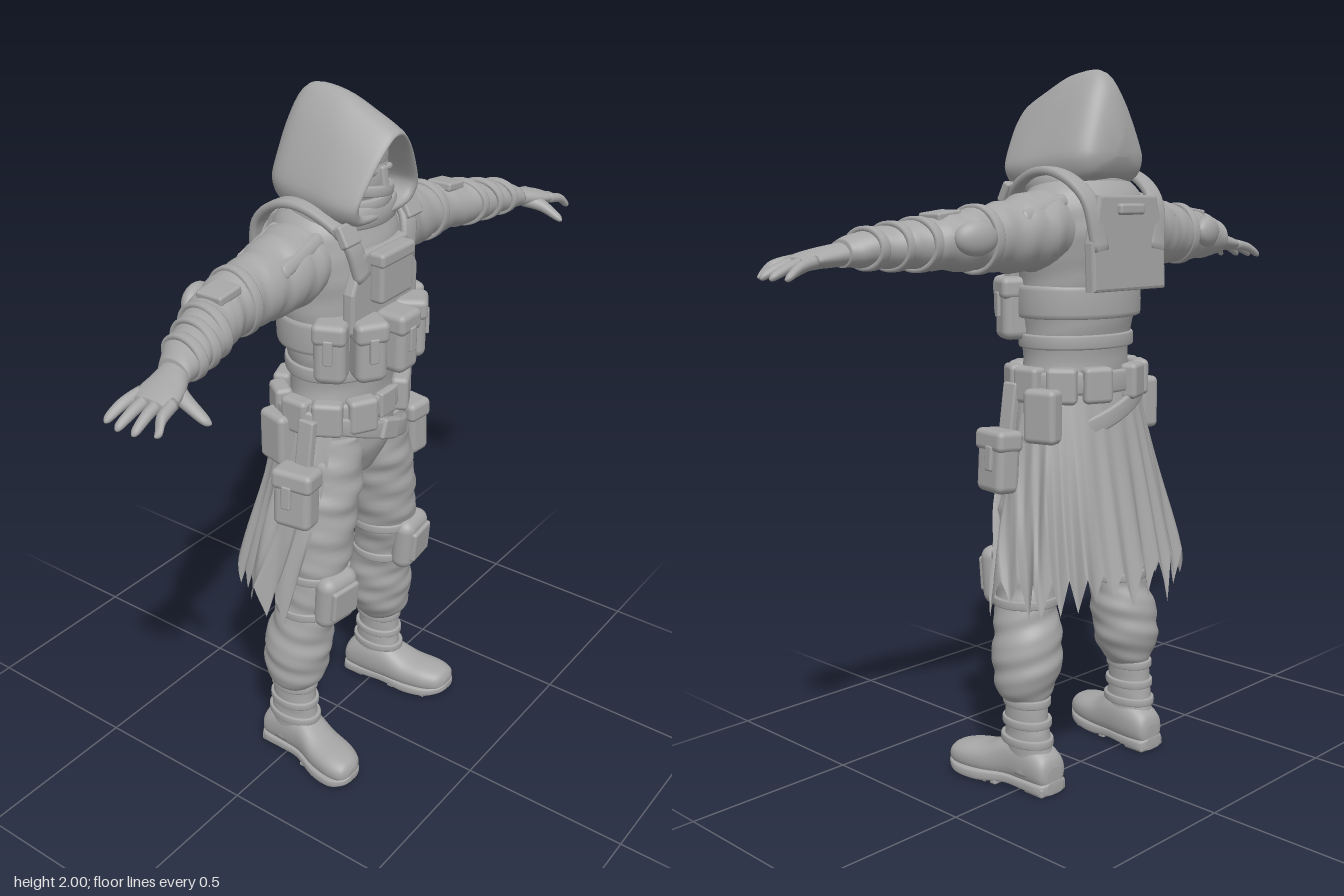
import * as THREE from 'three';
import { mergeVertices } from 'three/addons/utils/BufferGeometryUtils.js';
import { RoundedBoxGeometry } from 'three/addons/geometries/RoundedBoxGeometry.js';

const V = (x, y, z) => new THREE.Vector3(x, y, z);
// For each axis: place (t along axis, u, v) in space
const PLACE = { y: (t, u, v) => V(u, t, v), x: (t, u, v) => V(t, v, u), z: (t, u, v) => V(v, u, t) };
const spow = (c, p) => Math.sign(c) * Math.abs(c) ** p;

// Surface through rings of points, with end caps or closed into a hoop
function skin(rings, closed = false) {
  const n = rings[0].length, m = rings.length, pts = rings.flat(), idx = [];
  for (let i = 0; i < (closed ? m : m - 1); i++) for (let j = 0; j < n; j++) {
    const k = (j + 1) % n, a = i * n + j, b = i * n + k, c = ((i + 1) % m) * n + j, d = ((i + 1) % m) * n + k;
    idx.push(a, c, b, b, c, d);
  }
  if (!closed) for (const [i, end] of [[0, false], [m - 1, true]]) {
    const mid = rings[i].reduce((s, p) => s.add(p), V(0, 0, 0)).divideScalar(n);
    const c = pts.push(mid) - 1;
    for (let j = 0; j < n; j++) {
      const a = i * n + j, b = i * n + (j + 1) % n;
      idx.push(c, end ? b : a, end ? a : b);
    }
  }
  const g = new THREE.BufferGeometry().setFromPoints(pts);
  g.setIndex(idx);
  g.computeVertexNormals();
  return g;
}

// Smooth interpolation of rows of numbers
function smooth(rows, steps) {
  const out = [], at = i => rows[Math.max(0, Math.min(rows.length - 1, i))];
  for (let i = 0; i < rows.length - 1; i++) for (let s = 0; s < steps; s++) {
    const f = s / steps;
    out.push(rows[i].map((p1, k) => {
      const p0 = at(i - 1)[k], p2 = at(i + 1)[k], p3 = at(i + 2)[k];
      return p1 + 0.5 * f * (p2 - p0 + f * (2 * p0 - 5 * p1 + 4 * p2 - p3 + f * (3 * (p1 - p2) + p3 - p0)));
    }));
  }
  out.push(rows[rows.length - 1]);
  return out;
}

// Body of elliptical sections [t, cu, cv, ru, rv] along an axis, with optional cloth folds
function stack(axis, rows, { n = 32, p = 1, fold = 0, freq = 60, steps = 6 } = {}) {
  return skin(smooth(rows, steps).map(([t, cu, cv, ru, rv]) => Array.from({ length: n }, (_, j) => {
    const a = j / n * Math.PI * 2;
    const k = 1 + fold * (Math.sin(freq * t + 2.2 * Math.sin(a + 0.7)) + 0.5 * Math.sin(freq * 1.9 * t + 3 * a));
    return PLACE[axis](t, cu + Math.max(ru, 0.002) * k * spow(Math.cos(a), p), cv + Math.max(rv, 0.002) * k * spow(Math.sin(a), p));
  })));
}

// Flat band swept along a curve; W is the direction of its width
function sweep(pts, W, w, th, closed = false, count = 40) {
  const curve = new THREE.CatmullRomCurve3(pts, closed), rings = [];
  for (let i = 0; i < count; i++) {
    const t = i / (closed ? count : count - 1), c = curve.getPoint(t), T = curve.getTangent(t);
    const U = W.clone().addScaledVector(T, -W.dot(T)).normalize(), N = U.clone().cross(T);
    rings.push(Array.from({ length: 12 }, (_, j) => {
      const a = j / 12 * Math.PI * 2;
      return c.clone().addScaledVector(U, w * spow(Math.cos(a), 0.5)).addScaledVector(N, th * spow(Math.sin(a), 0.5));
    }));
  }
  return skin(rings, closed);
}

// Band wrapped around a limb; tilt slants it
function hoop(axis, [t, cu, cv, ru, rv], w, th, tilt = 0) {
  const pts = Array.from({ length: 16 }, (_, j) => {
    const a = j / 16 * Math.PI * 2, u = ru * Math.cos(a);
    return PLACE[axis](t + tilt * u, cu + u, cv + rv * Math.sin(a));
  });
  return sweep(pts, PLACE[axis](1, 0, 0), w, th, true, 48);
}

const box = (w, h, d) => new RoundedBoxGeometry(w, h, d, 3, Math.min(w, h, d) * 0.28);
const ball = (x, y, z) => new THREE.SphereGeometry(1, 32, 20).scale(x, y, z);

export function createModel() {
  const model = new THREE.Group();
  const grey = new THREE.MeshStandardMaterial({ color: 0xa6a6a6, side: THREE.DoubleSide });
  grey.name = 'grey';

  const put = (name, geo, p = [0, 0, 0], r = [0, 0, 0]) => {
    geo.applyMatrix4(new THREE.Matrix4().makeRotationFromEuler(new THREE.Euler(...r)).setPosition(...p));
    const mesh = new THREE.Mesh(geo, grey);
    mesh.name = name;
    model.add(mesh);
    return geo;
  };
  // Left part plus its mirrored right twin
  const pair = (name, geo, p, r) => {
    const g = mergeVertices(put(name + 'Left', geo, p, r).clone()).scale(-1, 1, 1), ix = g.index;
    for (let i = 0; i < ix.count; i += 3) {
      const a = ix.getX(i);
      ix.setX(i, ix.getX(i + 1));
      ix.setX(i + 1, a);
    }
    put(name + 'Right', g);
  };

  // Torso
  put('torso', stack('y', [[0.93, 0, 0.02, 0.1, 0.09], [1.02, 0, 0.02, 0.18, 0.125], [1.12, 0, 0.02, 0.185, 0.13],
    [1.22, 0, 0.02, 0.165, 0.13], [1.32, 0, 0.015, 0.175, 0.14], [1.42, 0, 0.005, 0.185, 0.15], [1.52, 0, -0.005, 0.195, 0.16],
    [1.6, 0, -0.01, 0.2, 0.16], [1.67, 0, -0.01, 0.18, 0.14], [1.72, 0, 0, 0.13, 0.11]], { n: 48, fold: 0.008, freq: 50 }));

  // Hood: pointed arch sections [zTop, zBottom, yTop, yBottom, width], outside then lining
  const half = [[0, 0], [0.5, 0.005], [0.85, 0.05], [1, 0.2], [0.93, 0.36], [0.63, 0.67], [0.4, 0.85], [0.18, 0.97], [0, 1]];
  const arch = smooth(half, 3);
  const loop = [...arch, ...arch.slice(1, -1).reverse().map(([x, u]) => [-x, u])];
  const hoodRows = [[-0.155, -0.153, 1.81, 1.77, 0.02], [-0.142, -0.142, 1.88, 1.74, 0.085], [-0.115, -0.12, 1.96, 1.71, 0.118],
    [-0.07, -0.07, 2, 1.69, 0.137], [0.02, 0.02, 1.993, 1.68, 0.147], [0.1, 0.09, 1.96, 1.68, 0.152], [0.185, 0.145, 1.918, 1.685, 0.142],
    [0.182, 0.145, 1.9, 1.705, 0.12], [0.12, 0.08, 1.885, 1.71, 0.113], [0.04, 0.03, 1.85, 1.73, 0.08]];
  put('hood', skin(smooth(hoodRows, 4).map(([zt, zb, yt, yb, w]) =>
    loop.map(([x, u]) => V(-x * w, yb + (yt - yb) * u, zb + (zt - zb) * u)))));
  put('cowl', hoop('y', [1.695, 0, 0.015, 0.125, 0.11], 0.03, 0.03));

  // Wrapped face
  put('face', ball(0.083, 0.11, 0.085), [0, 1.79, 0.06]);
  put('browWrap', hoop('y', [1.845, 0, 0.06, 0.075, 0.074], 0.022, 0.008));
  for (let i = 0; i < 3; i++)
    put('maskFold', hoop('y', [1.705 + i * 0.026, 0, 0.065, 0.075 + i * 0.004, 0.075 + i * 0.005], 0.014, 0.01, i % 2 ? 0.12 : -0.12));
  put('noseBridge', box(0.025, 0.07, 0.025), [0, 1.785, 0.143], [-0.15, 0, 0]);
  pair('eye', ball(0.02, 0.01, 0.01), [0.033, 1.808, 0.133]);

  // Sleeves, wraps and elbow guards
  pair('sleeve', stack('x', [[0.1, -0.01, 1.59, 0.1, 0.09], [0.2, -0.015, 1.575, 0.11, 0.105], [0.3, -0.015, 1.56, 0.093, 0.095],
    [0.4, -0.01, 1.555, 0.083, 0.083], [0.48, 0, 1.55, 0.083, 0.074], [0.56, 0.03, 1.545, 0.078, 0.064], [0.64, 0.06, 1.54, 0.068, 0.054],
    [0.71, 0.085, 1.535, 0.058, 0.044], [0.755, 0.1, 1.525, 0.046, 0.034]], { fold: 0.03, freq: 75 }));
  pair('elbowGuard', ball(0.06, 0.045, 0.03), [0.47, 1.56, -0.08], [0, -0.25, 0]);
  pair('armPad', box(0.08, 0.025, 0.08), [0.5, 1.615, 0.02], [0, 0, -0.12]);
  for (const s of [[0.41, -0.01, 1.555, 0.085, 0.084], [0.57, 0.033, 1.545, 0.08, 0.064], [0.63, 0.057, 1.541, 0.072, 0.057], [0.69, 0.078, 1.537, 0.064, 0.049]])
    pair('armWrap', hoop('x', s, 0.014, 0.007, 0.12));

  // Hands
  pair('palm', stack('x', [[0.735, 0.095, 1.527, 0.038, 0.03], [0.79, 0.118, 1.518, 0.053, 0.027], [0.84, 0.13, 1.511, 0.06, 0.021], [0.87, 0.135, 1.505, 0.05, 0.014]]));
  for (let i = 0; i < 4; i++) {
    const z0 = 0.083 + i * 0.032, z1 = 0.066 + i * 0.045, e = [0.94, 0.952, 0.948, 0.925][i];
    pair('finger', stack('x', [[0.84, z0, 1.51, 0.016, 0.015], [0.89, (z0 + z1) / 2, 1.499, 0.015, 0.014],
      [e - 0.012, z1, 1.478, 0.011, 0.011], [e, z1, 1.472, 0.003, 0.003]], { n: 12, steps: 4 }));
  }
  pair('thumb', stack('z', [[0.13, 1.512, 0.785, 0.022, 0.03], [0.18, 1.498, 0.8, 0.018, 0.02], [0.235, 1.472, 0.803, 0.012, 0.013], [0.25, 1.465, 0.8, 0.003, 0.003]], { n: 14 }));

  // Shoulder armour, domed over the arm
  const pad = new RoundedBoxGeometry(0.17, 0.025, 0.17, 8, 0.012), pp = pad.attributes.position;
  for (let i = 0; i < pp.count; i++) pp.setY(i, pp.getY(i) - 3.5 * pp.getX(i) ** 2 - 6 * pp.getZ(i) ** 2);
  pad.computeVertexNormals();
  pair('shoulderPad', pad, [0.245, 1.685, -0.012], [0, 0, -0.3]);

  // Chest rig: bib, straps, back plate
  const plate = (w0, w1, h) => new THREE.ExtrudeGeometry(new THREE.Shape([[-w0, 0], [w0, 0], [w0, h * 0.5], [w1, h], [-w1, h], [-w0, h * 0.5]]
    .map(q => new THREE.Vector2(...q))), { depth: 0.02, bevelSize: 0.008, bevelThickness: 0.008, bevelSegments: 2 });
  put('chestBib', plate(0.14, 0.095, 0.19), [0, 1.42, 0.132]);
  put('chestPocket', box(0.145, 0.13, 0.045), [0, 1.54, 0.175]);
  put('chestPocketFlap', box(0.15, 0.04, 0.05), [0, 1.595, 0.176]);
  put('backPlate', plate(0.14, 0.11, 0.24), [0, 1.42, -0.178], [0.03, 0, 0]);
  put('backGrip', box(0.1, 0.03, 0.03), [0, 1.63, -0.18]);
  pair('shoulderStrap', sweep([V(0.1, 1.55, 0.155), V(0.13, 1.66, 0.13), V(0.15, 1.725, 0.03), V(0.15, 1.725, -0.06), V(0.135, 1.66, -0.15), V(0.115, 1.52, -0.178)], V(1, 0, 0), 0.028, 0.012));
  pair('strapBuckle', box(0.065, 0.06, 0.025), [0.14, 1.675, 0.135], [-0.5, 0, 0]);
  put('rigBand', hoop('y', [1.38, 0, 0.01, 0.188, 0.152], 0.045, 0.008));
  put('waistBand', hoop('y', [1.27, 0, 0.018, 0.172, 0.138], 0.02, 0.008));

  // Chest pouches fanned around the front
  for (const a of [-1.15, -0.58, 0, 0.58, 1.15]) {
    const x = 0.18 * Math.sin(a), z = 0.035 + 0.165 * Math.cos(a);
    put('chestPouch', box(0.088, 0.165, 0.085), [x, 1.355, z], [0, a, 0]);
    put('chestPouchFlap', box(0.094, 0.06, 0.095), [x, 1.415, z], [0, a, 0]);
    put('chestPouchTab', box(0.025, 0.07, 0.014), [x + 0.045 * Math.sin(a), 1.37, z + 0.045 * Math.cos(a)], [0, a, 0]);
  }

  // Belts and belt pouches
  put('belt', hoop('y', [1.16, 0, 0.015, 0.192, 0.148], 0.032, 0.012));
  put('slantedBelt', hoop('y', [1.075, 0, 0.015, 0.21, 0.158], 0.026, 0.01, -0.38));
  put('slantedBuckle', box(0.08, 0.06, 0.03), [0.0, 1.08, 0.175], [0, 0, -0.36]);
  for (const a of [-2.75, -2.2, -1.6, -1.05, -0.5, 0.5, 1.05, 1.6, 2.2, 2.75])
    put('beltPouch', box(0.085, 0.1, 0.05), [0.195 * Math.sin(a), 1.155, 0.015 + 0.155 * Math.cos(a)], [0, a, 0]);
  put('beltBuckle', box(0.07, 0.075, 0.025), [0, 1.16, 0.165]);
  pair('hipPack', box(0.06, 0.15, 0.1), [0.205, 1.075, -0.05], [0, 0.25, 0]);

  // Hip holsters
  pair('holster', box(0.075, 0.17, 0.115), [0.268, 0.945, 0.06], [0, -0.15, 0.06]);
  pair('holsterFlap', box(0.085, 0.06, 0.125), [0.265, 1.005, 0.06], [0, -0.15, 0.06]);
  pair('holsterTab', box(0.02, 0.07, 0.03), [0.305, 0.96, 0.055], [0, -0.15, 0.06]);
  pair('holsterHanger', box(0.025, 0.16, 0.05), [0.225, 1.08, 0.06], [0, 0, 0.15]);

  // Ragged skirt around the back and sides
  const cols = 144, rowsN = 18, sp = [], si = [];
  const rand = k => Math.abs(Math.sin(k * 12.9898 + 4.1) * 43758.5453) % 1;
  for (let i = 0; i <= rowsN; i++) for (let j = 0; j <= cols; j++) {
    const s = i / rowsN, f = j / cols * 2 - 1, th = f * (2.25 - 0.5 * s);
    const tooth = Math.floor(j / 8), tri = 1 - Math.abs((j % 8) / 4 - 1);
    const hem = 0.655 - tri * (0.05 + 0.08 * rand(tooth)) - 0.03 * Math.abs(f);
    const k = 1 + s * (0.035 * Math.sin(th * 13) + 0.02 * Math.sin(th * 23 + 1));
    sp.push(V((0.19 + 0.125 * s) * k * spow(Math.sin(th), 0.85), 1.13 + (hem - 1.13) * s, 0.01 - (0.138 + 0.107 * s) * k * spow(Math.cos(th), 0.85)));
    if (i < rowsN && j < cols) {
      const a = i * (cols + 1) + j, b = a + cols + 1;
      si.push(a, a + 1, b, a + 1, b + 1, b);
    }
  }
  const skirt = new THREE.BufferGeometry().setFromPoints(sp);
  skirt.setIndex(si);
  skirt.computeVertexNormals();
  put('raggedSkirt', skirt);

  // Baggy trousers and knee pads
  pair('trouserLeg', stack('y', [[0.25, 0.222, 0.005, 0.045, 0.05], [0.29, 0.22, 0.01, 0.08, 0.08], [0.36, 0.213, 0.01, 0.098, 0.098],
    [0.44, 0.205, 0.015, 0.098, 0.098], [0.52, 0.195, 0.03, 0.088, 0.09], [0.62, 0.18, 0.045, 0.088, 0.092], [0.72, 0.163, 0.048, 0.098, 0.102],
    [0.85, 0.142, 0.04, 0.105, 0.113], [0.95, 0.118, 0.03, 0.108, 0.122], [1.08, 0.1, 0.02, 0.09, 0.12]], { n: 40, fold: 0.03, freq: 62, steps: 8 }));
  pair('kneePad', new RoundedBoxGeometry(0.135, 0.17, 0.07, 5, 0.034), [0.19, 0.6, 0.132], [0.08, 0.12, 0]);
  pair('kneePadRidge', box(0.1, 0.1, 0.03), [0.193, 0.6, 0.163], [0.08, 0.12, 0]);
  for (const s of [[0.665, 0.172, 0.047, 0.094, 0.098], [0.545, 0.19, 0.035, 0.09, 0.093]]) pair('kneeStrap', hoop('y', s, 0.013, 0.006));

  // Boots
  pair('bootShaft', stack('y', [[0.05, 0.218, -0.01, 0.055, 0.075], [0.13, 0.22, 0, 0.053, 0.078], [0.2, 0.222, 0.003, 0.052, 0.07], [0.29, 0.222, 0.005, 0.055, 0.065]], { fold: 0.015, freq: 90 }));
  for (const [y, rz] of [[0.26, 0.068], [0.2, 0.072], [0.145, 0.08]]) pair('bootStrap', hoop('y', [y, 0.221, 0.003, 0.054, rz], 0.012, 0.007));
  pair('bootFoot', stack('z', [[-0.1, 0.055, 0.215, 0.025, 0.028], [-0.085, 0.065, 0.215, 0.05, 0.05], [-0.02, 0.08, 0.216, 0.07, 0.057],
    [0.05, 0.08, 0.222, 0.068, 0.058], [0.12, 0.062, 0.238, 0.05, 0.065], [0.19, 0.058, 0.252, 0.042, 0.064], [0.235, 0.055, 0.26, 0.032, 0.048], [0.25, 0.052, 0.262, 0.012, 0.02]], { p: 0.85 }));
  pair('bootSole', stack('z', [[-0.103, 0.022, 0.215, 0.018, 0.03], [-0.085, 0.02, 0.215, 0.02, 0.053], [-0.02, 0.022, 0.218, 0.018, 0.055],
    [0.05, 0.024, 0.225, 0.017, 0.055], [0.13, 0.02, 0.242, 0.02, 0.07], [0.2, 0.023, 0.255, 0.018, 0.067], [0.24, 0.032, 0.261, 0.014, 0.045], [0.253, 0.036, 0.262, 0.01, 0.02]], { p: 0.5 }));
  for (let i = 0; i < 4; i++) pair('soleTread', box(0.11, 0.012, 0.022), [0.233 + i * 0.006, 0.006, 0.08 + i * 0.036]);
  pair('bootHeel', box(0.1, 0.03, 0.075), [0.216, 0.015, -0.06]);
  return model;
}
